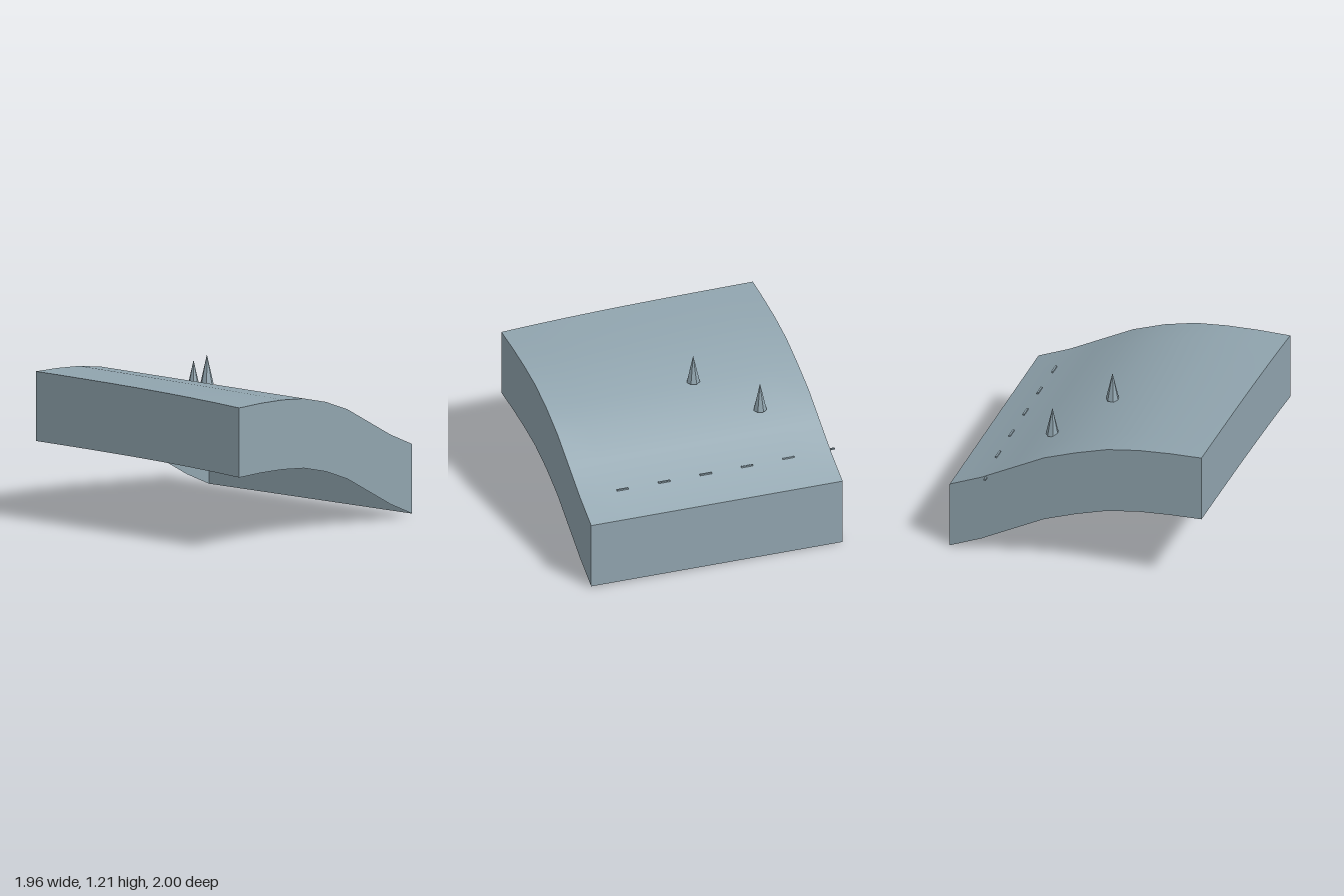
import * as THREE from 'three';

// Height profiles of the hill along x, at the front and back edges
const FRONT = [1.09, 1.09, 1.08, 1.055, 0.995, 0.905, 0.775, 0.645, 0.54];
const BACK = [1.125, 1.115, 1.095, 1.055, 0.98, 0.89, 0.76, 0.63, 0.525];
const HALF = 0.98, ZMID = 0.02, DEPTH = 0.52, N = 8;

const xAt = (i) => -HALF + (2 * HALF * i) / N;
const zAt = (j) => ZMID - HALF + (2 * HALF * j) / N;

// Blend from front to back, rounding off towards the front on the high side
function heightAt(i, j) {
  const t = 1 - j / N;
  const rounded = 1 - Math.pow(1 - t, 3);
  const w = THREE.MathUtils.lerp(rounded, t, i / N);
  return THREE.MathUtils.lerp(FRONT[i], BACK[i], w);
}

// Grid of (N + 1) x (rows + 1) points given by a rule
function gridGeometry(cols, rows, point) {
  const pos = [], index = [];
  for (let r = 0; r <= rows; r++)
    for (let c = 0; c <= cols; c++) pos.push(...point(c, r));
  for (let r = 0; r < rows; r++)
    for (let c = 0; c < cols; c++) {
      const a = r * (cols + 1) + c, b = a + 1, d = a + cols + 1, e = d + 1;
      index.push(a, d, b, b, d, e);
    }
  const g = new THREE.BufferGeometry();
  g.setAttribute('position', new THREE.Float32BufferAttribute(pos, 3));
  g.setIndex(index);
  g.computeVertexNormals();
  return g;
}

export function createModel() {
  const model = new THREE.Group();
  const slate = new THREE.MeshStandardMaterial({ color: 0x90a4ae, side: THREE.DoubleSide });
  slate.name = 'blueGrey';
  const solid = new THREE.MeshStandardMaterial({ color: 0x90a4ae, flatShading: true });
  solid.name = 'blueGreyFaceted';

  function add(name, geometry, material, x = 0, y = 0, z = 0) {
    const mesh = new THREE.Mesh(geometry, material);
    mesh.name = name;
    mesh.position.set(x, y, z);
    model.add(mesh);
  }

  // Sloping ground surface
  add('groundSurface', gridGeometry(N, N, (c, r) => [xAt(c), heightAt(c, r), zAt(r)]), slate);

  // Four skirt walls hanging from the edges; the underside stays open
  const wall = (name, corner) =>
    add(name, gridGeometry(N, 1, (c, r) => {
      const [i, j] = corner(c);
      return [xAt(i), heightAt(i, j) - r * DEPTH, zAt(j)];
    }), slate);
  wall('frontWall', (c) => [c, N]);
  wall('backWall', (c) => [N - c, 0]);
  wall('leftWall', (c) => [N, N - c]);
  wall('rightWall', (c) => [0, c]);

  // Pointed trees
  const cone = new THREE.ConeGeometry(0.05, 0.22, 7);
  for (const [x, base, z] of [[0, 0.99, -0.145], [0.325, 0.853, -0.55]])
    add('tree', cone, solid, x, base + 0.11, z);

  // Dashed line along the lower slope
  const dash = new THREE.BoxGeometry(0.013, 0.011, 0.09);
  const dashes = [
    [0.742, 0.651, 0.67], [0.741, 0.65, 0.345], [0.736, 0.648, 0.02],
    [0.73, 0.647, -0.305], [0.72, 0.647, -0.63], [0.695, 0.636, -0.955],
  ];
  for (const [x, y, z] of dashes) add('roadDash', dash, solid, x, y, z);

  return model;
}
